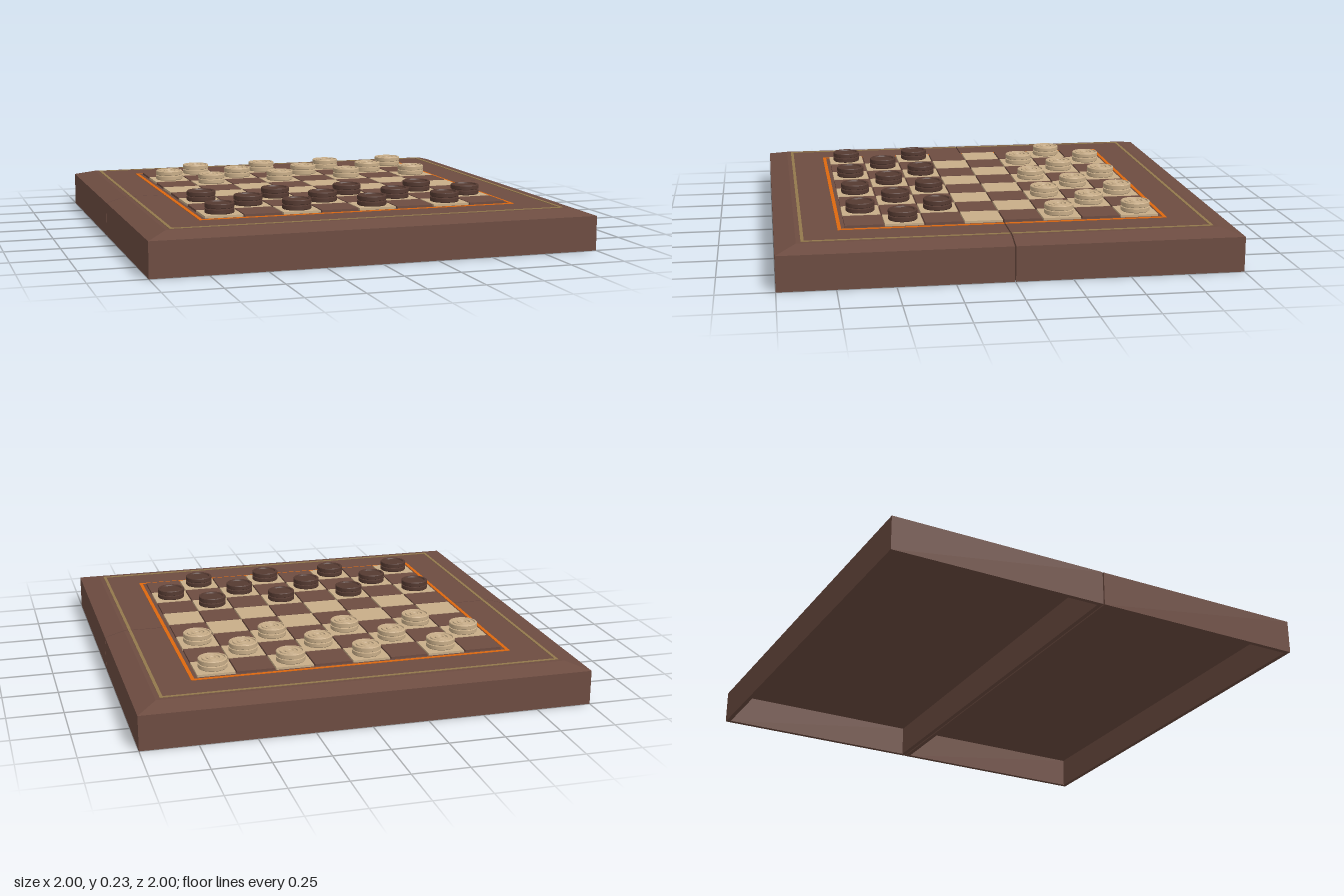
import * as THREE from 'three';
import { toCreasedNormals } from 'three/addons/utils/BufferGeometryUtils.js';

const material = (color) => new THREE.MeshStandardMaterial({ color });
const wood = material(0x6d4c41);
const maple = material(0xc8ad88);
const walnut = material(0x553a31);
const orange = material(0xdd680f);
const brass = material(0x93784c);

const TOP = 0.18; // board surface
const TILE_TOP = 0.19;
const PITCH = 0.1745;
const GAP = 0.003; // half of the seam between the two trays

function add(parent, name, geometry, mat, x = 0, y = 0, z = 0) {
  const mesh = new THREE.Mesh(geometry, mat);
  mesh.name = name;
  mesh.position.set(x, y, z);
  parent.add(mesh);
  return mesh;
}

// Hollow tray, open below, with a bevel on its three outer sides:
// rectangles [half width, near z, far z, y] joined from inner ceiling to top
function trayGeometry() {
  const wall = 0.02;
  const loops = [
    [1 - wall, GAP + wall, 1 - wall, 0.145],
    [1 - wall, GAP + wall, 1 - wall, 0],
    [1, GAP, 1, 0],
    [1, GAP, 1, 0.155],
    [0.91, GAP, 0.91, TOP],
  ].map(([w, z0, z1, y]) => [[-w, y, z1], [w, y, z1], [w, y, z0], [-w, y, z0]]);

  const positions = [];
  const quad = (a, b, c, d) => positions.push(...a, ...b, ...c, ...a, ...c, ...d);
  for (let i = 0; i < loops.length - 1; i++) {
    for (let j = 0; j < 4; j++) {
      const k = (j + 1) % 4;
      quad(loops[i][j], loops[i][k], loops[i + 1][k], loops[i + 1][j]);
    }
  }
  quad(...loops[0].slice().reverse());
  quad(...loops[loops.length - 1]);

  const geometry = new THREE.BufferGeometry();
  geometry.setAttribute('position', new THREE.Float32BufferAttribute(positions, 3));
  geometry.computeVertexNormals();
  return geometry;
}

// Inlaid line running round three sides of a half
function addInlay(parent, name, outer, width, mat) {
  const height = 0.004;
  const length = outer - width - GAP;
  const front = new THREE.BoxGeometry(outer * 2, height, width);
  const side = new THREE.BoxGeometry(width, height, length);
  add(parent, name, front, mat, 0, TOP, outer - width / 2);
  for (const s of [-1, 1]) {
    add(parent, name, side, mat, s * (outer - width / 2), TOP, GAP + length / 2);
  }
}

// Checker: two stacked discs with a groove, and a turned top face
function checkerGeometry(face) {
  const profile = [
    [0, 0], [0.062, 0], [0.065, 0.003], [0.065, 0.019], [0.061, 0.021],
    [0.061, 0.024], [0.065, 0.026], [0.065, 0.042], [0.062, 0.045],
    ...face,
  ].map(([r, y]) => new THREE.Vector2(r, y));
  return toCreasedNormals(new THREE.LatheGeometry(profile, 40), 0.5);
}

const dishedFace = [[0.053, 0.045], [0.05, 0.039], [0, 0.039]];
const ringedFace = [
  [0.056, 0.045], [0.054, 0.04], [0.048, 0.04], [0.046, 0.045], [0.032, 0.045],
  [0.03, 0.04], [0.026, 0.04], [0.024, 0.045], [0.014, 0.045], [0.012, 0.041], [0, 0.041],
];

function createHalf(name, checkerMaterial, face) {
  const half = new THREE.Group();
  half.name = name;
  add(half, 'tray', trayGeometry(), wood);
  addInlay(half, 'brassInlay', 0.89, 0.014, brass);
  addInlay(half, 'orangeBorder', 0.727, 0.016, orange);

  // Four rows of squares; the three outer rows carry checkers
  const tile = new THREE.BoxGeometry(0.168, TILE_TOP - TOP, 0.168);
  const checker = checkerGeometry(face);
  for (let row = 0; row < 4; row++) {
    for (let col = 0; col < 8; col++) {
      const x = (col - 3.5) * PITCH;
      const z = (3.5 - row) * PITCH;
      const light = (row + col) % 2 === 0;
      add(half, light ? 'lightSquare' : 'darkSquare', tile, light ? maple : wood,
        x, (TOP + TILE_TOP) / 2, z);
      if (light && row < 3) add(half, 'checker', checker, checkerMaterial, x, TILE_TOP, z);
    }
  }
  return half;
}

export function createModel() {
  const model = new THREE.Group();
  model.name = 'checkersBoard';
  const front = createHalf('frontHalf', walnut, dishedFace);
  const back = createHalf('backHalf', maple, ringedFace);
  back.rotation.y = Math.PI;
  model.add(front, back);
  return model;
}
